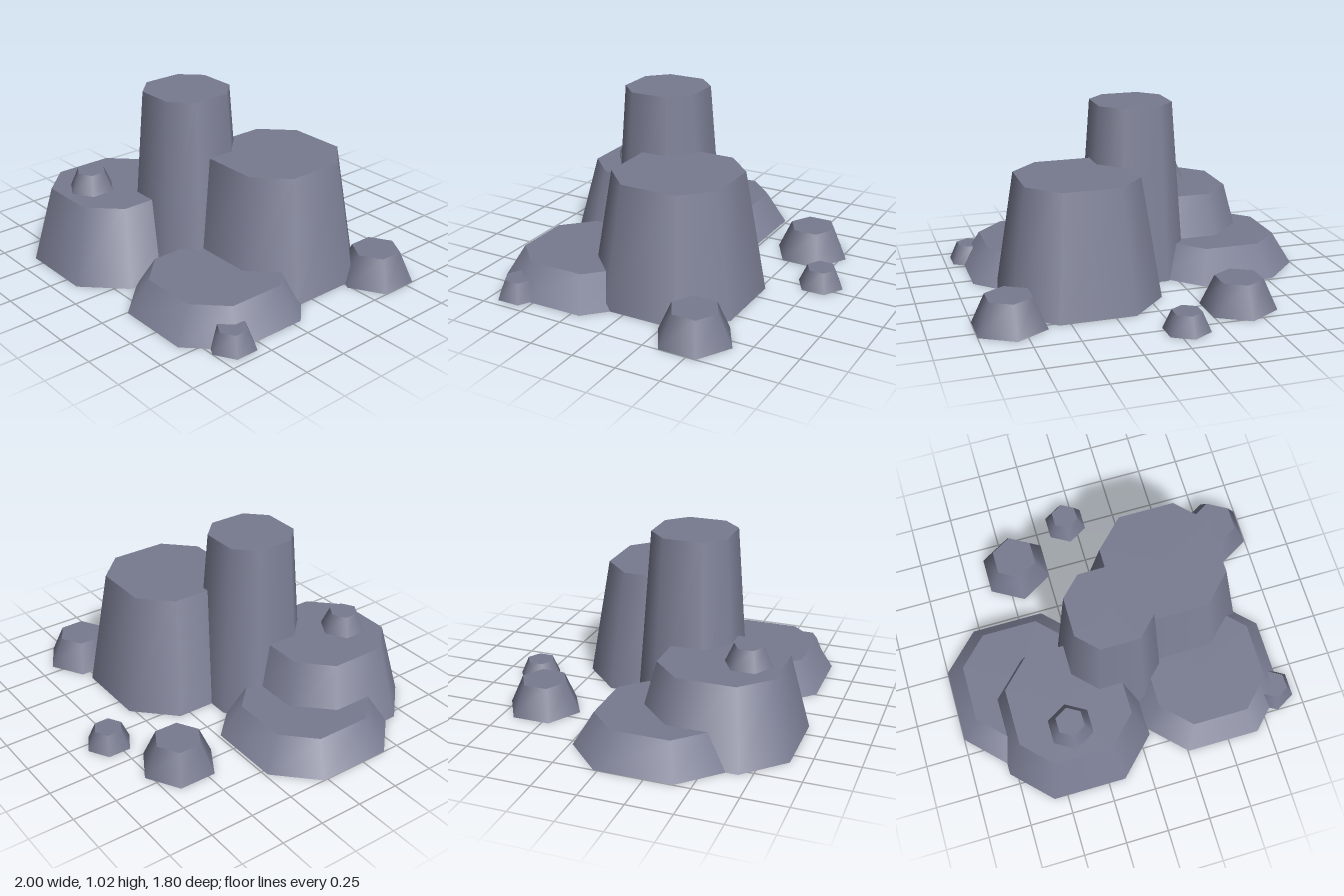
import * as THREE from 'three';

const stone = new THREE.MeshStandardMaterial({ color: 0x777a8f });
stone.name = 'slate stone';

// Tapered eight-sided block: a square with cut corners, width 2 * radius at its foot
function blockGeometry(radius, height) {
  const taper = 0.755;
  const g = new THREE.CylinderGeometry(taper, 1, height, 8, 1, false, Math.PI / 8);
  const p = g.attributes.position;
  for (let i = 0; i < p.count; i++) {
    const x = p.getX(i), z = p.getZ(i);
    if (Math.hypot(x, z) < 0.01) continue; // cap centre
    const r = radius * (p.getY(i) > 0 ? taper : 1);
    const wide = Math.abs(x) > Math.abs(z);
    p.setX(i, Math.sign(x) * r * (wide ? 1 : 0.5));
    p.setZ(i, Math.sign(z) * r * (wide ? 0.5 : 1));
  }
  return g.translate(0, height / 2, 0);
}

// Tapered six-sided stone with corners pointing to front and back
function pebbleGeometry(radius, height) {
  return new THREE.CylinderGeometry(radius * 0.63, radius, height, 6).translate(0, height / 2, 0);
}

export function createModel() {
  const group = new THREE.Group();
  group.name = 'rockFormation';
  const add = (name, geometry, x, y, z) => {
    const mesh = new THREE.Mesh(geometry, stone);
    mesh.name = name;
    mesh.position.set(x, y, z);
    group.add(mesh);
  };

  // Large blocks: name, radius, height, x, z
  for (const [name, r, h, x, z] of [
    ['tallPillar', 0.285, 1.02, -0.05, 0.19],
    ['broadPillar', 0.427, 0.69, 0.35, -0.1],
    ['frontBoulder', 0.427, 0.43, -0.365, 0.466],
    ['frontSlab', 0.427, 0.185, 0.468, 0.413],
    ['sideSlab', 0.427, 0.185, -0.573, 0.192],
  ]) add(name, blockGeometry(r, h), x, 0, z);

  // Small stones: name, radius, height, x, y, z
  for (const [name, r, h, x, y, z] of [
    ['backStone', 0.214, 0.172, -0.431, 0, -0.567],
    ['cornerStone', 0.214, 0.172, 0.813, 0, -0.449],
    ['backPebble', 0.131, 0.107, -0.055, 0, -0.777],
    ['frontPebble', 0.131, 0.107, 0.842, 0, 0.62],
    ['topPebble', 0.131, 0.107, -0.39, 0.43, 0.607],
  ]) add(name, pebbleGeometry(r, h), x, y, z);

  return group;
}
